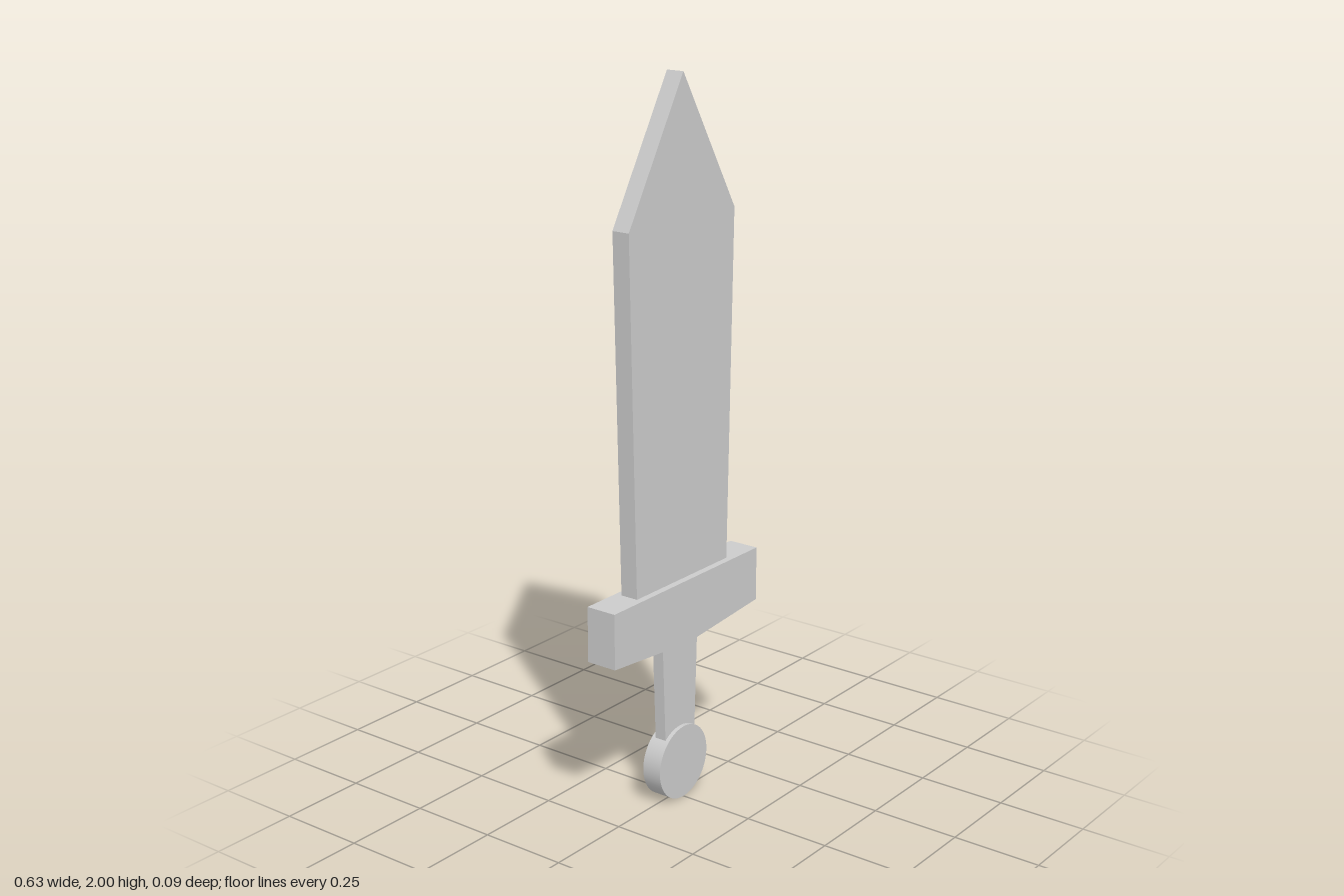
import * as THREE from 'three';

const flat = new THREE.MeshStandardMaterial({ color: 0xcccccc, flatShading: true });
const smooth = new THREE.MeshStandardMaterial({ color: 0xcccccc });

// Slab cut from an outline and centred on z = 0.
// The outline lists the right half (x, y) from bottom to top and is mirrored.
function slab(name, half, depth) {
  const mirrored = half.filter(([x]) => x > 0).reverse().map(([x, y]) => [-x, y]);
  const points = [...half, ...mirrored].map(([x, y]) => new THREE.Vector2(x, y));
  const geometry = new THREE.ExtrudeGeometry(new THREE.Shape(points), { depth, bevelEnabled: false });
  geometry.translate(0, 0, -depth / 2);
  const mesh = new THREE.Mesh(geometry, flat);
  mesh.name = name;
  return mesh;
}

export function createModel() {
  const sword = new THREE.Group();
  sword.name = 'sword';

  // Blade widens slightly towards the point
  sword.add(slab('blade', [[0.198, 0.645], [0.222, 1.625], [0, 2]], 0.052));

  // Crossguard with a shallow V underside
  sword.add(slab('crossguard', [[0, 0.466], [0.315, 0.493], [0.315, 0.648]], 0.09));

  // Grip tapers down into the pommel
  sword.add(slab('grip', [[0.064, 0.15], [0.077, 0.48]], 0.034));

  // Disc pommel facing front and back
  const disc = new THREE.CylinderGeometry(0.106, 0.106, 0.058, 48);
  disc.rotateX(Math.PI / 2);
  const pommel = new THREE.Mesh(disc, smooth);
  pommel.name = 'pommel';
  pommel.position.y = 0.107;
  sword.add(pommel);

  return sword;
}
